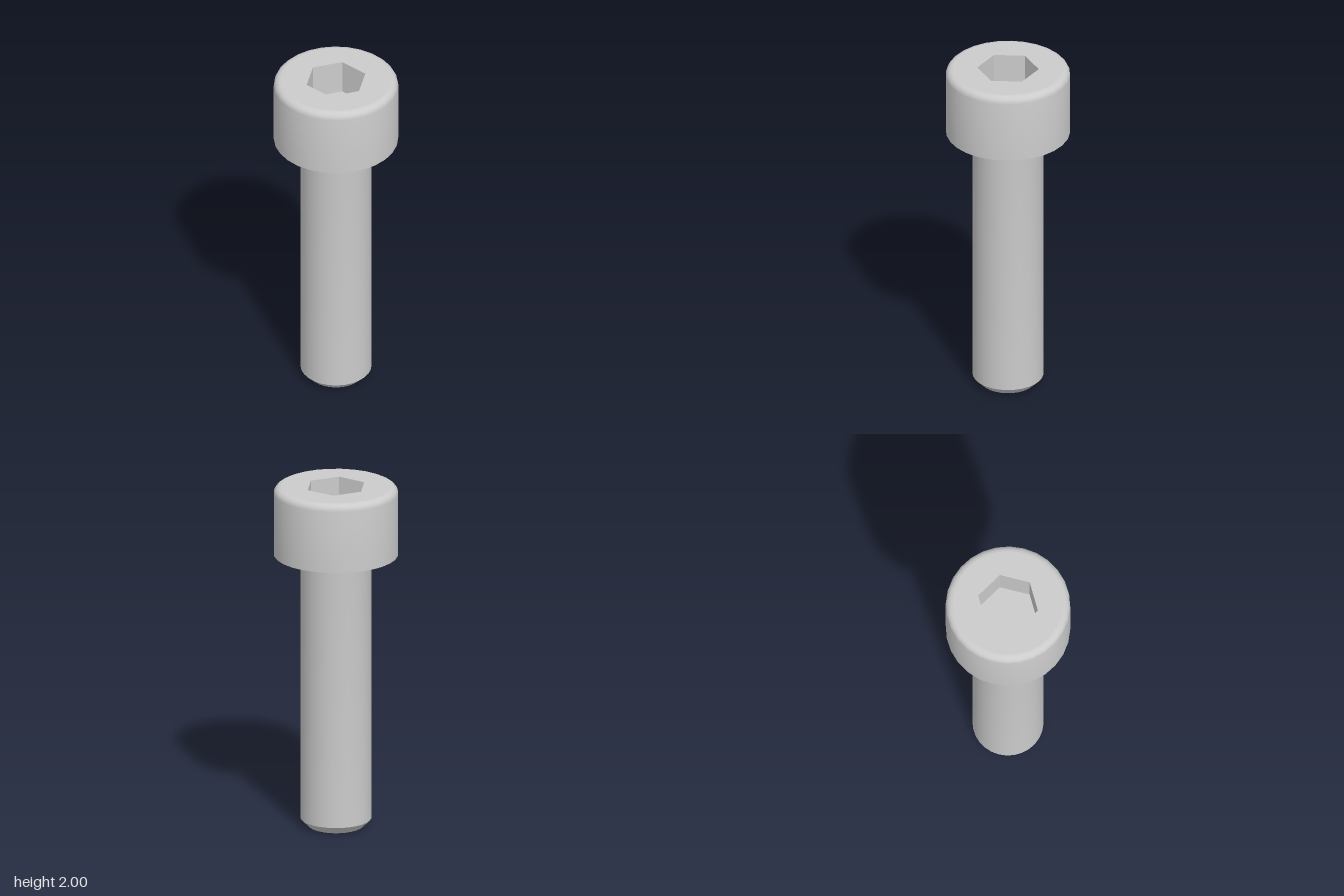
import * as THREE from 'three';
import { toCreasedNormals } from 'three/addons/utils/BufferGeometryUtils.js';

const SIDES = 28;
const SOCKET_R = 0.15 / Math.cos(Math.PI / 6); // corner radius, 0.30 across flats

// Quarter ellipse in profile space, from angle a0 to a1
function arc(cx, cy, rx, ry, a0, a1, steps) {
  return Array.from({ length: steps + 1 }, (_, i) => {
    const a = a0 + ((a1 - a0) * i) / steps;
    return new THREE.Vector2(cx + rx * Math.cos(a), cy + ry * Math.sin(a));
  });
}

// Corner points of a regular polygon, with one corner on the y axis
function polygon(radius, sides) {
  return Array.from({ length: sides }, (_, i) => {
    const a = (i / sides) * Math.PI * 2;
    return new THREE.Vector2(radius * Math.sin(a), radius * Math.cos(a));
  });
}

export function createModel() {
  const group = new THREE.Group();
  const material = new THREE.MeshStandardMaterial({ color: 0xcccccc });
  const faceted = new THREE.MeshStandardMaterial({ color: 0xcccccc, flatShading: true });

  const add = (name, geometry, mat = material) => {
    const mesh = new THREE.Mesh(geometry, mat);
    mesh.name = name;
    group.add(mesh);
  };
  const turned = (points) => toCreasedNormals(new THREE.LatheGeometry(points, SIDES), 0.5);
  const v = (x, y) => new THREE.Vector2(x, y);

  // Shank: flat end, chamfer, straight shaft and concave fillet below the head
  add('shank', turned([
    v(0, 0), v(0.155, 0), v(0.2, 0.045),
    ...arc(0.235, 1.55, 0.035, 0.05, Math.PI, Math.PI / 2, 5),
  ]));

  // Head: flat underside, straight wall, rounded top edge
  add('head', turned([
    v(0.235, 1.6), v(0.35, 1.6),
    ...arc(0.31, 1.96, 0.04, 0.04, 0, Math.PI / 2, 5),
  ]));

  // Flat top face with the hexagonal opening
  const face = new THREE.Shape(polygon(0.31, SIDES));
  face.holes.push(new THREE.Path(polygon(SOCKET_R, 6)));
  add('headTop', new THREE.ShapeGeometry(face).rotateX(-Math.PI / 2).translate(0, 2, 0));

  // Hexagonal socket: inward-facing walls and floor
  add('hexSocket', new THREE.LatheGeometry(
    [v(SOCKET_R, 2), v(SOCKET_R, 1.8), v(0, 1.8)], 6), faceted);

  return group;
}
